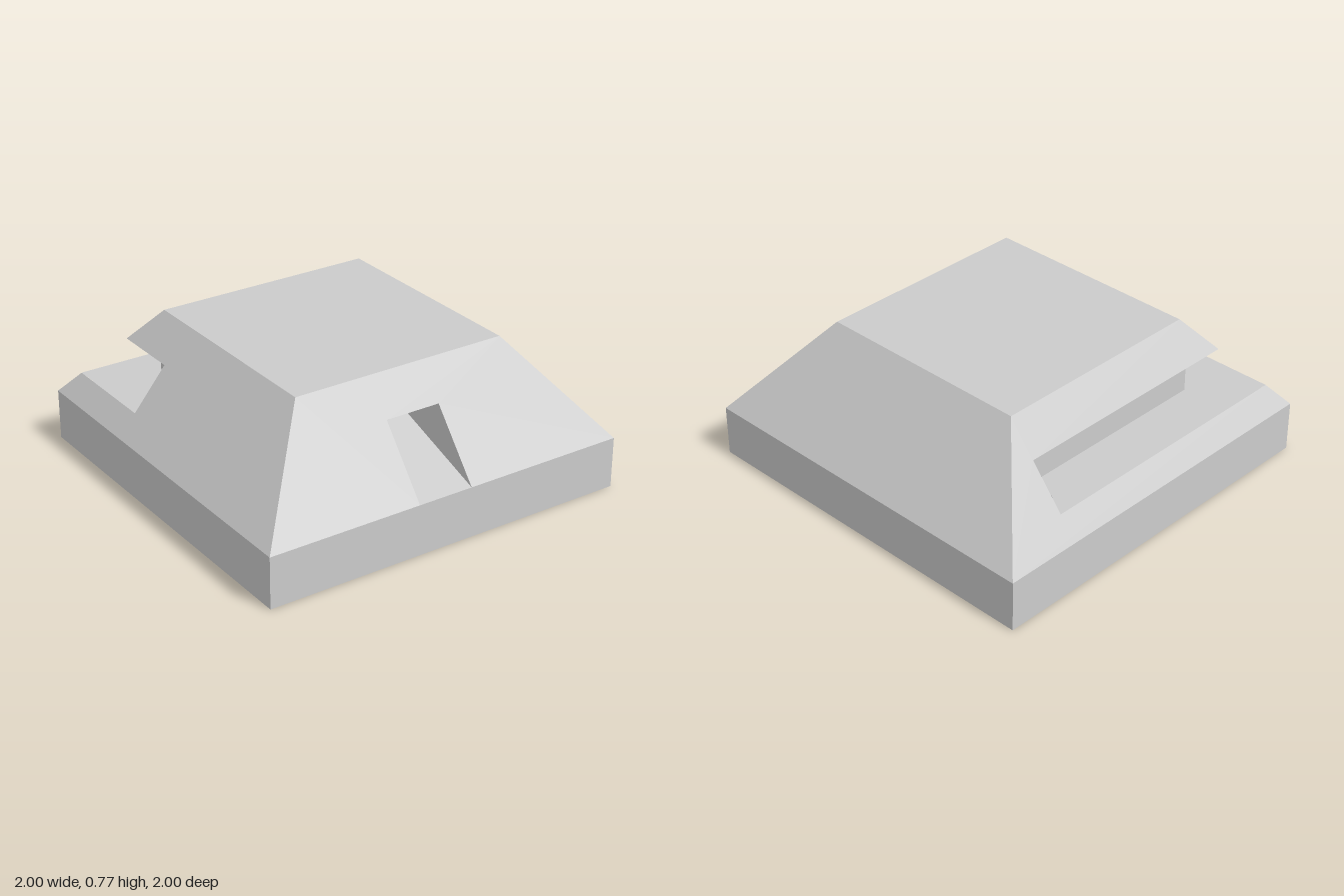
import * as THREE from 'three';

const BASE = 0.268, TOP = 0.768, INNER = 0.59, ROOF = 0.595, FLOOR = 0.382;
const LIP = 0.732, OUT = 0.907; // where the slope meets the cavity roof / slot floor

const slope = (x, z) =>
  BASE + (TOP - BASE) * Math.min(1, (1 - Math.max(Math.abs(x), Math.abs(z))) / (1 - INNER));
const flat = y => () => y;

export function createModel() {
  const group = new THREE.Group();
  const solid = new THREE.MeshStandardMaterial({ color: 0xcccccc, flatShading: true });
  const open = new THREE.MeshStandardMaterial({ color: 0xcccccc, flatShading: true, side: THREE.DoubleSide });

  const add = (name, geometry, material) => {
    const mesh = new THREE.Mesh(geometry, material);
    mesh.name = name;
    group.add(mesh);
    return mesh;
  };

  // Plan outline of [x, z] points, lifted to a height rule
  const sheet = (name, points, height, material = open) => {
    const shape = new THREE.Shape(points.map(([x, z]) => new THREE.Vector2(x, -z)));
    const geometry = new THREE.ShapeGeometry(shape).toNonIndexed();
    const p = geometry.attributes.position;
    for (let i = 0; i < p.count; i++) {
      const x = p.getX(i), z = -p.getY(i);
      p.setXYZ(i, x, height(x, z), z);
    }
    geometry.computeVertexNormals();
    add(name, geometry, material);
  };

  // Upright wall along a plan path, from the floor up to the roof or slope
  const walls = (name, path, floor) => {
    const pos = [];
    for (let i = 0; i + 1 < path.length; i++) {
      const [a, b] = [path[i], path[i + 1]];
      const low = ([x, z]) => [x, floor(x, z), z];
      const high = ([x, z]) => [x, Math.max(floor(x, z), Math.min(ROOF, slope(x, z))), z];
      pos.push(...low(a), ...low(b), ...high(b), ...low(a), ...high(b), ...high(a));
    }
    const geometry = new THREE.BufferGeometry();
    geometry.setAttribute('position', new THREE.Float32BufferAttribute(pos, 3));
    geometry.computeVertexNormals();
    add(name, geometry, open);
  };

  // Square plinth and flat top
  add('base', new THREE.BoxGeometry(2, BASE, 2), solid).position.y = BASE / 2;
  const n = INNER;
  sheet('topDeck', [[-n, -n], [n, -n], [n, n], [-n, n]], flat(TOP), solid);

  // Four sloping sides, cut out around the openings
  const tl = -0.18, tr = 0.12, tEnd = 0.32;   // tunnel
  const sx = 0.592, sz = -0.355;              // ends of the L-shaped slot
  sheet('leftSlope', [[1, -1], [1, 1], [n, n], [n, -n]], slope, solid);
  sheet('frontSlope', [[-1, 1], [tl, 1], [tl, LIP], [tr, LIP], [tr, 1], [1, 1], [n, n], [-n, n]], slope, solid);
  sheet('backSlope', [[-1, -1], [1, -1], [n, -n], [-n, -n], [-LIP, -LIP], [sx, -LIP], [sx, -OUT], [-OUT, -OUT]], slope, solid);
  sheet('rightSlope', [[-1, -1], [-OUT, -OUT], [-OUT, sz], [-LIP, sz], [-LIP, -LIP], [-n, -n], [-n, n], [-1, 1]], slope, solid);

  // Front tunnel with a rising ramp
  const ramp = (x, z) => BASE + (1 - z) * 0.235 / (1 - tEnd);
  sheet('tunnelRamp', [[tl, 1], [tr, 1], [tr, tEnd], [tl, tEnd]], ramp);
  sheet('tunnelCeiling', [[tl, LIP], [tr, LIP], [tr, tEnd], [tl, tEnd]], flat(ROOF));
  walls('tunnelWalls', [[tl, 1], [tl, LIP], [tl, tEnd], [tr, tEnd], [tr, LIP], [tr, 1]], ramp);

  // Undercut slot around the back right corner, with a passage leading inward
  const deep = -0.2, door = -0.58, wx = -0.59, wz = -0.645;
  const inside = [[deep, sz], [deep, door], [wx, door], [wx, wz], [sx, wz]];
  sheet('slotFloor', [[-OUT, -OUT], [-OUT, sz], ...inside, [sx, -OUT]], flat(FLOOR));
  sheet('slotCeiling', [[-LIP, -LIP], [-LIP, sz], ...inside, [sx, -LIP]], flat(ROOF));
  walls('slotWalls', [[-OUT, sz], [-LIP, sz], ...inside, [sx, -LIP], [sx, -OUT]], flat(FLOOR));

  return group;
}
